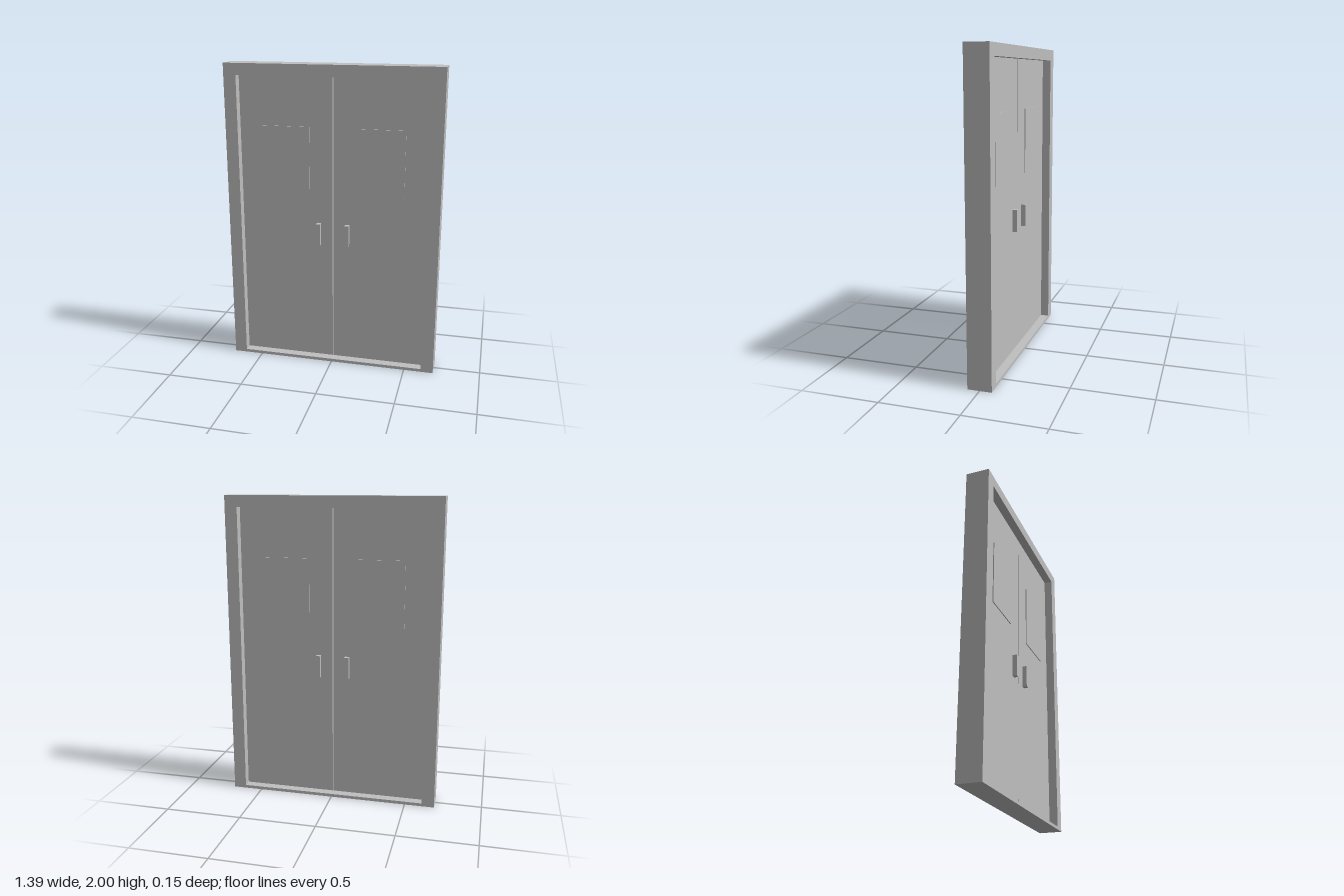
import * as THREE from 'three';

export function createModel() {
  const model = new THREE.Group();
  model.name = 'doubleDoor';
  const grey = new THREE.MeshStandardMaterial({ name: 'plainGrey', color: 0xbfbfbf });

  const halfWidth = 0.695, depth = 0.153;
  const openHalf = 0.614, openBottom = 0.02, openTop = 1.926;
  const leafDepth = 0.04, gap = 0.005;

  // Rectangle from its corners, as a shape or a hole
  const rect = (Type, x0, y0, x1, y1) => new Type([
    new THREE.Vector2(x0, y0), new THREE.Vector2(x1, y0),
    new THREE.Vector2(x1, y1), new THREE.Vector2(x0, y1),
  ]);

  // Box from its size and centre
  const addBox = (parent, name, w, h, d, x, y, z) => {
    const mesh = new THREE.Mesh(new THREE.BoxGeometry(w, h, d), grey);
    mesh.name = name;
    mesh.position.set(x, y, z);
    parent.add(mesh);
  };

  // Surrounding frame with threshold
  const outline = rect(THREE.Shape, -halfWidth, 0, halfWidth, 2);
  outline.holes.push(rect(THREE.Path, -openHalf, openBottom, openHalf, openTop));
  const frameGeometry = new THREE.ExtrudeGeometry(outline, { depth, bevelEnabled: false });
  frameGeometry.translate(0, 0, -depth / 2);
  const frame = new THREE.Mesh(frameGeometry, grey);
  frame.name = 'frame';
  model.add(frame);

  // Two mirrored leaves, each with a window pane and a handle on both faces
  for (const [side, s] of [['left', 1], ['right', -1]]) {
    const leaf = new THREE.Group();
    leaf.name = side + 'Leaf';
    const leafWidth = openHalf - gap / 2;
    addBox(leaf, side + 'Panel', leafWidth, openTop - openBottom, leafDepth,
      s * (gap / 2 + leafWidth / 2), (openTop + openBottom) / 2, 0);
    for (const [face, f] of [['Front', 1], ['Back', -1]]) {
      addBox(leaf, side + face + 'Window', 0.308, 0.43, 0.006,
        s * 0.308, 1.393, f * (leafDepth / 2 + 0.003));
      addBox(leaf, side + face + 'Handle', 0.028, 0.145, 0.029,
        s * 0.095, 0.903, f * (leafDepth / 2 + 0.0145));
    }
    model.add(leaf);
  }
  return model;
}
